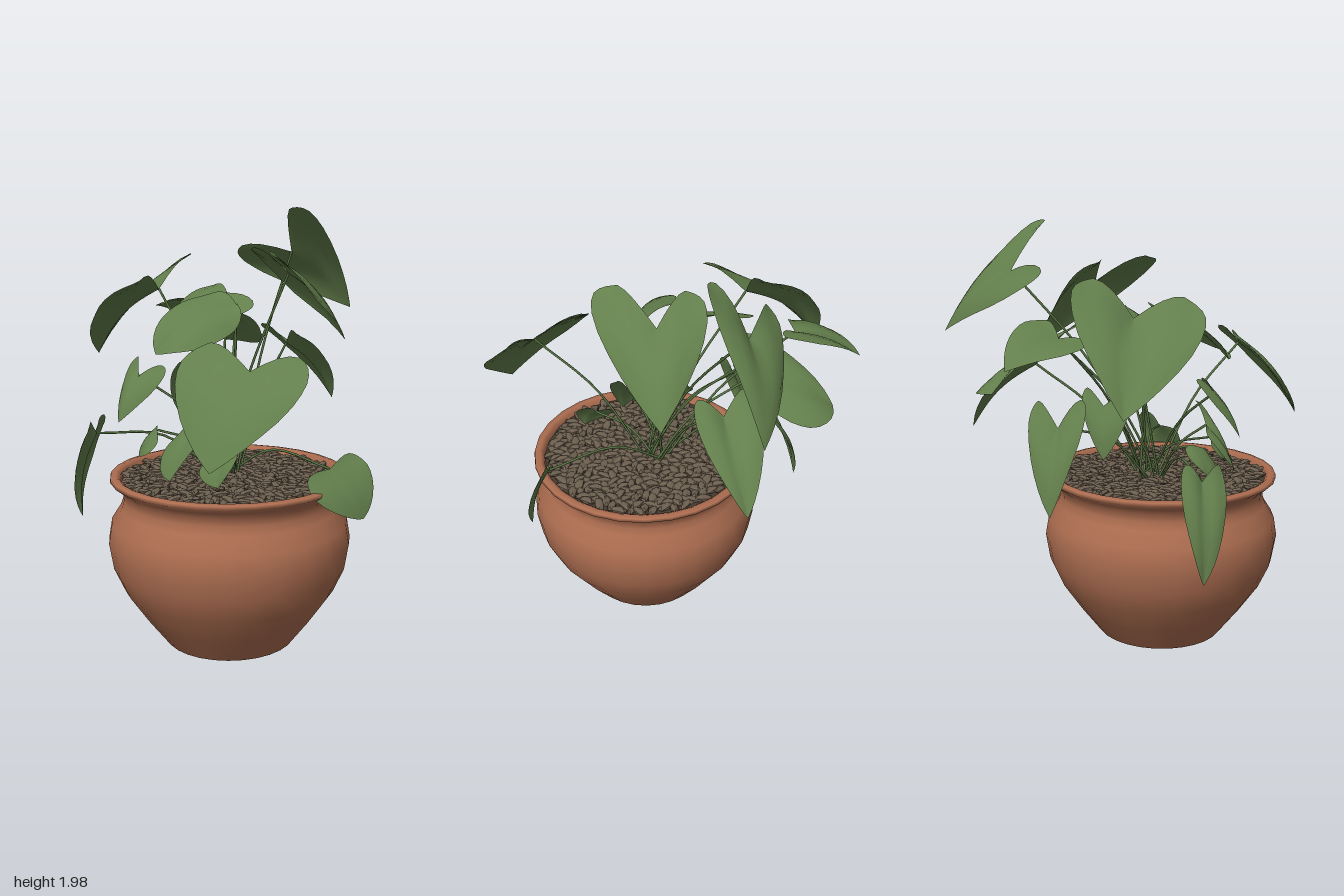
import * as THREE from 'three';
import { mergeGeometries, mergeVertices } from 'three/addons/utils/BufferGeometryUtils.js';

const mat = (name, color, extra = {}) => {
  const m = new THREE.MeshStandardMaterial({ color, ...extra });
  m.name = name;
  return m;
};
const V = (a) => new THREE.Vector3(...a);
const CX = 0.11, CZ = 0.22; // pot axis

// Seeded random numbers
let seed = 7;
const rand = () => {
  seed = (seed * 16807) % 2147483647;
  return seed / 2147483647;
};

// Half outline of a heart-shaped leaf: x = share of the way to the lobe, y = share of the way to the tip
const half = new THREE.CatmullRomCurve3([
  [0, 0], [0.45, -0.07], [0.82, -0.06], [1.02, 0.06], [1.1, 0.25], [0.98, 0.48], [0.64, 0.74], [0.27, 0.92], [0, 1],
].map(([s, t]) => new THREE.Vector3(s, t, 0))).getPoints(16);

// Heart leaf from its notch, tip and two lobe points; fullness widens it towards the tip
function leafGeometry(notch, tip, lobeA, lobeB, fullness = 0) {
  const N = V(notch), axis = V(tip).sub(N), len = axis.length();
  const lobes = [V(lobeA).sub(N), V(lobeB).sub(N)];
  const up = new THREE.Vector3().crossVectors(axis, lobes[1].clone().sub(lobes[0])).normalize();
  if (up.y < 0) up.negate();
  const pos = [], idx = [], cols = 4;
  lobes.forEach((lobe, side) => {
    const first = pos.length / 3;
    half.forEach((p, i) => {
      const m = i / (half.length - 1); // place on the midrib
      const width = p.x * (1 + fullness * Math.max(0, p.y));
      for (let j = 0; j <= cols; j++) {
        const f = j / cols, s = width * f, t = m + (p.y - m) * f;
        const q = N.clone().addScaledVector(axis, t).addScaledVector(lobe, s);
        const arch = 0.08 * Math.sin(Math.PI * Math.max(0, t)) + 0.04 * Math.sin(Math.PI * Math.min(s, 1));
        q.addScaledVector(up, len * arch);
        pos.push(q.x, q.y, q.z);
        if (i && j) {
          const d = first + i * (cols + 1) + j, c = d - 1, b = d - cols - 1, a = b - 1;
          if (side) idx.push(a, b, c, b, d, c);
          else idx.push(a, c, b, b, c, d);
        }
      }
    });
  });
  let g = new THREE.BufferGeometry();
  g.setAttribute('position', new THREE.Float32BufferAttribute(pos, 3));
  g.setIndex(idx);
  g = mergeVertices(g, 1e-5);
  g.computeVertexNormals();
  return g;
}

// Curved stalk from the crown of the plant to a leaf notch
function stemGeometry(notch, i) {
  const a = i * 2.4;
  const from = new THREE.Vector3(0.06 + 0.05 * Math.cos(a), 0.76, 0.18 + 0.05 * Math.sin(a));
  const to = V(notch);
  const mid = from.clone().lerp(to, 0.45);
  mid.y += 0.12 * Math.hypot(to.x - from.x, to.z - from.z) + 0.03;
  return new THREE.TubeGeometry(new THREE.CatmullRomCurve3([from, mid, to]), 10, 0.006, 5);
}

// Leaves: notch, tip, lobe, lobe, fullness
const leaves = {
  topBackLeaf: [[-0.2, 1.76, -0.41], [-0.16, 1.46, -0.78], [-0.05, 1.99, -0.29], [-0.36, 1.77, -0.18], 0.15],
  upperBackLeaf: [[0.12, 1.69, -0.12], [0.18, 1.36, -0.43], [0.27, 1.8, 0.12], [-0.06, 1.8, -0.03], 0.9],
  lowerBackLeaf: [[-0.13, 1.32, -0.32], [-0.15, 1.0, -0.65], [0.0, 1.38, -0.28], [-0.27, 1.4, -0.26]],
  rightBackLeaf: [[-0.3, 1.47, -0.14], [-0.65, 1.28, -0.3], [-0.32, 1.34, -0.32], [-0.28, 1.55, -0.01], 0.2],
  rightLeaf: [[-0.55, 1.52, -0.03], [-0.83, 1.42, -0.15], [-0.45, 1.58, -0.16], [-0.58, 1.5, 0.11]],
  bigRightFrontLeaf: [[-0.4, 1.6, 0.25], [-0.81, 1.25, 0.35], [-0.42, 1.76, 0.03], [-0.24, 1.66, 0.47], 0.3],
  middleLeaf: [[-0.07, 1.6, 0.09], [-0.19, 1.45, 0.31], [0.1, 1.55, 0.06], [-0.32, 1.61, -0.01]],
  frontMiddleLeaf: [[0.1, 1.57, 0.17], [0.03, 1.37, 0.56], [0.2, 1.46, 0.25], [-0.06, 1.6, 0.22]],
  bigLeftFrontLeaf: [[0.58, 1.36, 0.47], [0.68, 1.0, 0.75], [0.3, 1.44, 0.51], [0.76, 1.4, 0.31], 0.2],
  droopingRightLeaf: [[-0.43, 1.1, -0.09], [-0.58, 0.73, -0.07], [-0.37, 1.22, 0.02], [-0.38, 1.2, -0.22]],
  innerRightLeaf: [[-0.36, 1.2, 0.1], [-0.42, 0.97, 0.12], [-0.33, 1.27, 0.0], [-0.33, 1.24, 0.2]],
  hangingFrontLeaf: [[-0.46, 0.93, 0.58], [-0.55, 0.5, 0.62], [-0.4, 0.98, 0.65], [-0.5, 0.99, 0.5]],
  leftRimLeaf: [[0.61, 0.89, 0.05], [0.72, 0.67, -0.05], [0.59, 0.84, 0.17], [0.65, 0.95, -0.06]],
  frontLeaf: [[-0.14, 1.25, 0.54], [-0.13, 1.05, 0.66], [-0.24, 1.32, 0.48], [-0.05, 1.29, 0.45], 0.2],
  lowFrontLeaf: [[0.14, 1.03, 0.43], [0.14, 0.82, 0.57], [0.05, 1.0, 0.46], [0.22, 1.13, 0.35], 0.3],
  smallLeftLeaf: [[0.31, 0.93, 0.41], [0.36, 0.82, 0.47], [0.22, 0.9, 0.44], [0.38, 0.98, 0.38], 0.2],
  smallRightLeaf: [[-0.12, 0.99, 0.46], [-0.17, 0.87, 0.53], [-0.18, 0.99, 0.42], [-0.06, 0.94, 0.5]],
};

export function createModel() {
  const clay = mat('terracotta', 0xac6d50, { side: THREE.DoubleSide });
  const green = mat('leaf green', 0x637f4c, { side: THREE.DoubleSide });
  const stalk = mat('stem green', 0x587443);
  const stone = mat('gravel brown', 0x6b5e4e, { flatShading: true });
  const earth = mat('soil brown', 0x453b30);

  const group = new THREE.Group();
  const add = (name, geometry, material, parent = group) => {
    const mesh = new THREE.Mesh(geometry, material);
    mesh.name = name;
    parent.add(mesh);
    return mesh;
  };

  // Pot with flared rim, open at the top
  const profile = [
    [0.3, 0], [0.4, 0.13], [0.49, 0.26], [0.54, 0.37], [0.56, 0.49], [0.545, 0.58],
    [0.5, 0.65], [0.487, 0.69], [0.49, 0.73], [0.52, 0.758], [0.548, 0.78], [0.545, 0.797], [0.52, 0.802], [0.5, 0.79], [0.49, 0.74],
  ].map(([r, y]) => new THREE.Vector2(r, y));
  add('pot', new THREE.LatheGeometry(profile, 28), clay).position.set(CX, 0, CZ);
  const base = new THREE.CircleGeometry(0.3, 28).rotateX(Math.PI / 2);
  add('potBase', base, clay).position.set(CX, 0.002, CZ);

  // Soil under the gravel
  const soil = new THREE.CircleGeometry(0.495, 28).rotateX(-Math.PI / 2);
  add('soil', soil, earth).position.set(CX, 0.772, CZ);

  // Gravel spread evenly in a spiral
  const stones = [];
  const count = 460;
  for (let i = 0; i < count; i++) {
    const r = 0.475 * Math.sqrt((i + 0.5) / count), a = i * 2.39996;
    const g = new THREE.IcosahedronGeometry(1, 0);
    g.scale(0.038 + 0.014 * rand(), 0.015, 0.019 + 0.006 * rand());
    g.rotateZ((rand() - 0.5) * 0.5).rotateY(rand() * Math.PI);
    g.translate(CX + r * Math.cos(a), 0.774 + 0.014 * rand(), CZ + r * Math.sin(a));
    stones.push(g);
  }
  add('gravel', mergeGeometries(stones), stone);

  // Leaves and their stems
  const plant = new THREE.Group();
  plant.name = 'plant';
  group.add(plant);
  Object.entries(leaves).forEach(([name, points], i) => {
    add(name, leafGeometry(...points), green, plant);
    add(name + 'Stem', stemGeometry(points[0], i), stalk, plant);
  });
  return group;
}
